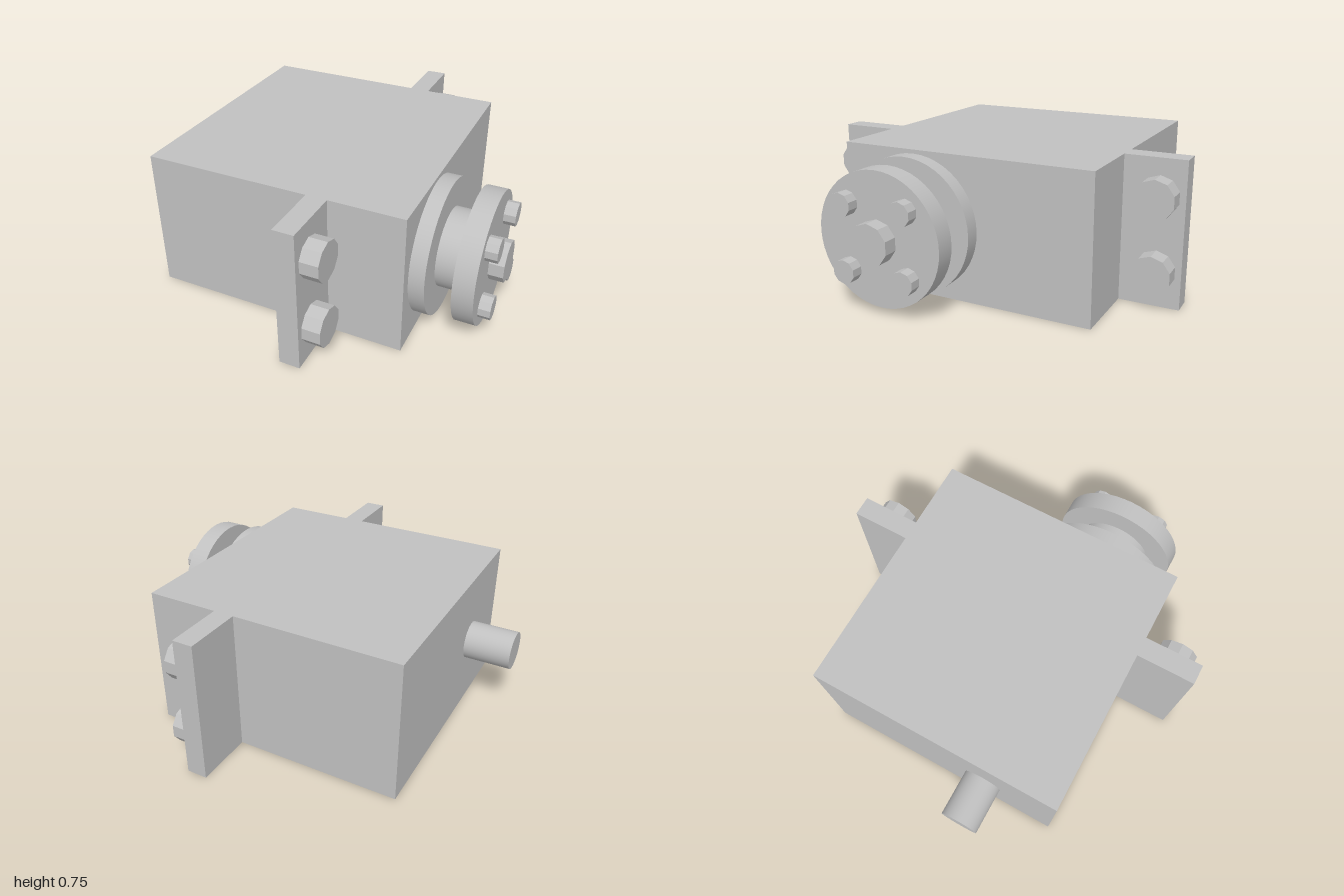
import * as THREE from 'three';

const metal = new THREE.MeshStandardMaterial({ color: 0xc0c0c0 });
metal.name = 'grey metal';
const AXIS_Y = 0.38, AXIS_Z = 0.272;

export function createModel() {
  const model = new THREE.Group();
  model.name = 'servoMotor';

  function box(name, x0, x1, y0, y1, z0, z1) {
    const mesh = new THREE.Mesh(new THREE.BoxGeometry(x1 - x0, y1 - y0, z1 - z0), metal);
    mesh.position.set((x0 + x1) / 2, (y0 + y1) / 2, (z0 + z1) / 2);
    mesh.name = name;
    model.add(mesh);
  }

  // Cylinder lying along x, with a corner pointing straight up
  function rod(name, x0, x1, r, y, z, sides = 48) {
    let geo = new THREE.CylinderGeometry(r, r, x1 - x0, sides, 1, false, Math.PI / 2);
    geo.rotateZ(-Math.PI / 2);
    if (sides < 16) {
      geo = geo.toNonIndexed();
      geo.computeVertexNormals();
    }
    const mesh = new THREE.Mesh(geo, metal);
    mesh.position.set((x0 + x1) / 2, y, z);
    mesh.name = name;
    model.add(mesh);
  }

  // Case and rear shaft
  box('body', -0.752, 0.615, 0, 0.755, -0.683, 0.683);
  rod('rearShaft', -1, -0.75, 0.102, AXIS_Y, AXIS_Z);

  // Mounting ears, each with two bolts
  for (const side of [1, -1]) {
    const near = side * 0.683, far = side * 0.994;
    box('mountingEar', 0.122, 0.23, 0, 0.755, Math.min(near, far), Math.max(near, far));
    for (const y of [0.19, 0.568]) rod('earBolt', 0.23, 0.325, 0.102, y, side * 0.865, 10);
  }

  // Output pulley
  rod('innerDisc', 0.615, 0.695, 0.355, AXIS_Y, AXIS_Z);
  rod('hub', 0.695, 0.82, 0.205, AXIS_Y, AXIS_Z);
  rod('outerDisc', 0.82, 0.925, 0.341, AXIS_Y, AXIS_Z);
  rod('centreScrew', 0.925, 1, 0.106, AXIS_Y, AXIS_Z, 10);
  for (const dy of [-0.167, 0.167])
    for (const dz of [-0.167, 0.167])
      rod('discScrew', 0.925, 0.985, 0.061, AXIS_Y + dy, AXIS_Z + dz, 10);

  return model;
}
